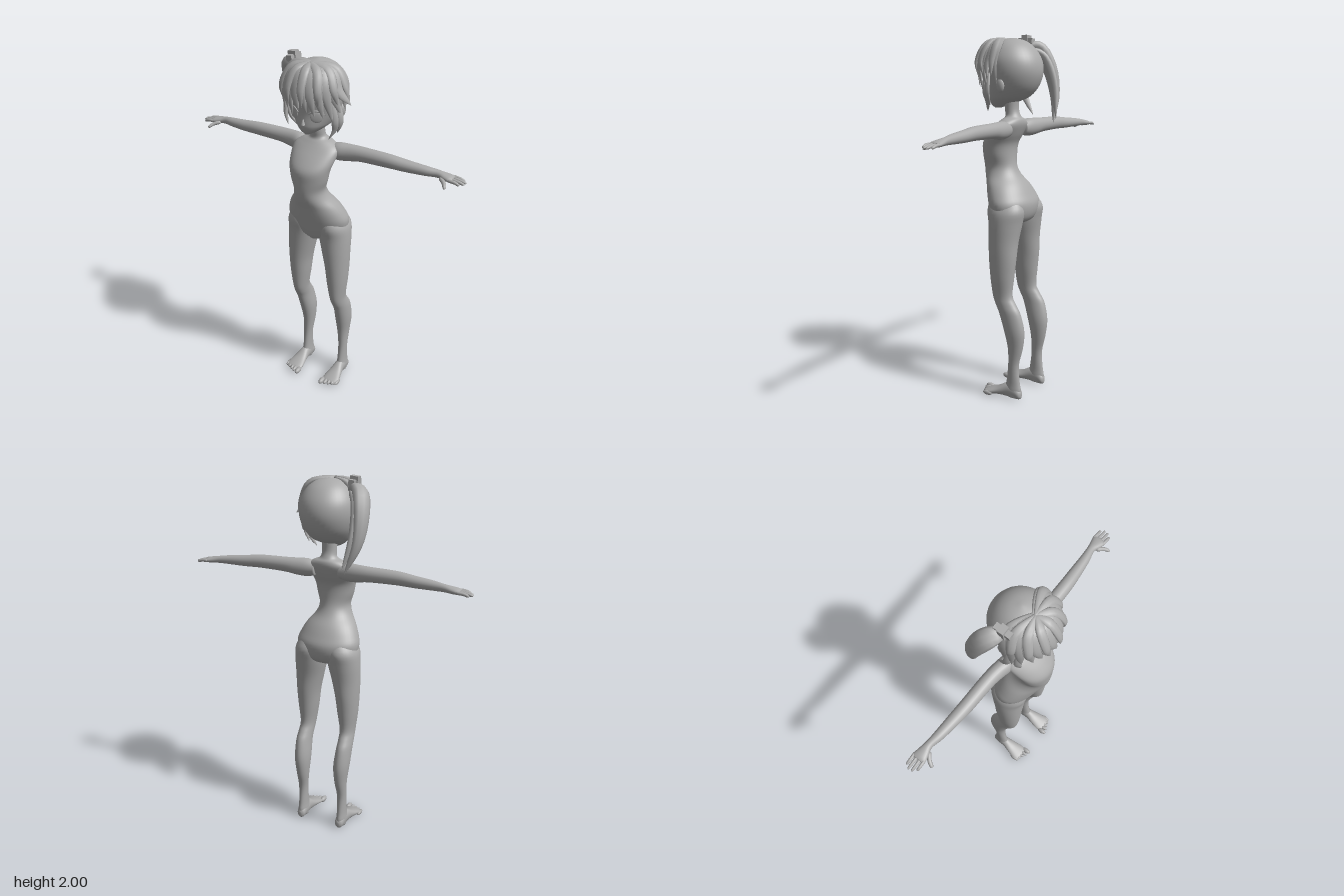
import * as THREE from 'three';

const grey = new THREE.MeshStandardMaterial({ color: 0xaaaaaa });
grey.name = 'plain grey';
const V = (p) => new THREE.Vector3(...p);

// Smooth interpolation through the rows of a small table
function smoothRows(rows, steps) {
  const out = [];
  for (let i = 0; i < rows.length - 1; i++) {
    const a = rows[Math.max(i - 1, 0)], b = rows[i], c = rows[i + 1], d = rows[Math.min(i + 2, rows.length - 1)];
    for (let k = 0; k < steps; k++) {
      const t = k / steps;
      out.push(b.map((v, j) => {
        const cubic = 3 * (v - c[j]) + d[j] - a[j];
        const square = 2 * a[j] - 5 * v + 4 * c[j] - d[j];
        return v + 0.5 * t * (c[j] - a[j] + t * (square + t * cubic));
      }));
    }
  }
  out.push(rows[rows.length - 1]);
  return out;
}

// Closed skin over rings of points, always wound outward
function skin(rings) {
  const n = rings[0].length, pts = rings.flat(), idx = [];
  for (let i = 0; i < rings.length - 1; i++) {
    for (let j = 0; j < n; j++) {
      const a = i * n + j, b = i * n + (j + 1) % n;
      idx.push(a, b, a + n, b, b + n, a + n);
    }
  }
  [0, rings.length - 1].forEach((r) => {
    const c = new THREE.Vector3();
    rings[r].forEach((p) => c.addScaledVector(p, 1 / n));
    const k = pts.push(c) - 1;
    for (let j = 0; j < n; j++) {
      const a = r * n + j, b = r * n + (j + 1) % n;
      if (r) idx.push(a, b, k);
      else idx.push(b, a, k);
    }
  });
  let volume = 0;
  for (let i = 0; i < idx.length; i += 3) {
    const [a, b, c] = [0, 1, 2].map((k) => pts[idx[i + k]].clone().sub(pts[0]));
    volume += a.dot(b.cross(c));
  }
  if (volume < 0) idx.reverse();
  const g = new THREE.BufferGeometry().setFromPoints(pts);
  g.setIndex(idx);
  g.computeVertexNormals();
  return g;
}

// Elliptical loft; row = [position on axis, centre a, half a, b max, b min]
function loft(axis, rows, s = 1, sides = 32) {
  const rings = smoothRows(rows, 4).map(([t, ca, ha, b1, b0]) => Array.from({ length: sides }, (_, j) => {
    const w = j / sides * Math.PI * 2;
    const a = ca + Math.max(ha, 0.001) * Math.cos(w), b = (b1 + b0) / 2 + (b1 - b0) / 2 * Math.sin(w);
    if (axis === 'y') return V([a * s, t, b]);
    if (axis === 'z') return V([a * s, b, t]);
    return V([t * s, a, b]);
  }));
  return skin(rings);
}

// Tapering strand along a path, its flat side facing away from a centre
function strand(points, width, thick, profile, centre = [0, 1.8, -0.02]) {
  const curve = new THREE.CatmullRomCurve3(points.map(V)), n = 14, sides = 10;
  const rings = Array.from({ length: n + 1 }, (_, i) => {
    const t = i / n, p = curve.getPoint(t), dir = curve.getTangent(t);
    const side = dir.clone().cross(p.clone().sub(V(centre))).normalize();
    const out = side.clone().cross(dir).normalize();
    const k = Math.max(profile(t), 0.02);
    return Array.from({ length: sides }, (_, j) => {
      const w = j / sides * Math.PI * 2;
      return p.clone().addScaledVector(side, Math.cos(w) * width * k).addScaledVector(out, Math.sin(w) * thick * k);
    });
  });
  return skin(rings);
}
const leaf = (t) => Math.pow(Math.max(Math.sin(Math.PI * Math.pow(0.08 + 0.92 * t, 0.8)), 0), 0.75);
const digit = (t) => Math.sqrt(Math.max(1 - Math.pow(2 * t - 1, 6), 0)) * (1 - 0.25 * t);

export function createModel() {
  const model = new THREE.Group();
  model.name = 'figure';
  const add = (name, geometry, parent = model) => {
    const m = new THREE.Mesh(geometry, grey);
    m.name = name;
    parent.add(m);
    return m;
  };

  // Plain mannequin torso and neck
  add('torso', loft('y', [
    [0.975, 0, 0.03, 0.05, -0.03], [1.0, 0, 0.12, 0.065, -0.1], [1.04, 0, 0.165, 0.08, -0.13],
    [1.1, 0, 0.18, 0.1, -0.137], [1.15, 0, 0.165, 0.115, -0.115], [1.2, 0, 0.138, 0.13, -0.085],
    [1.25, 0, 0.1, 0.15, -0.045], [1.3, 0, 0.085, 0.16, -0.022], [1.36, 0, 0.102, 0.163, -0.015],
    [1.42, 0, 0.115, 0.16, -0.02], [1.47, 0, 0.128, 0.125, -0.045], [1.52, 0, 0.13, 0.075, -0.065],
    [1.55, 0, 0.09, 0.045, -0.065], [1.57, 0, 0.047, 0.03, -0.052], [1.61, 0, 0.04, 0.035, -0.04],
    [1.69, 0, 0.042, 0.04, -0.045]], 1, 40));

  // Head
  add('head', loft('y', [
    [1.612, 0, 0.012, 0.105, 0.07], [1.628, 0, 0.045, 0.12, 0.02], [1.655, 0, 0.082, 0.13, -0.06],
    [1.68, 0, 0.104, 0.131, -0.11], [1.73, 0, 0.132, 0.128, -0.152], [1.8, 0, 0.15, 0.135, -0.175],
    [1.87, 0, 0.146, 0.13, -0.165], [1.93, 0, 0.113, 0.1, -0.125], [1.965, 0, 0.068, 0.06, -0.075],
    [1.98, 0, 0.008, 0, -0.02]], 1, 40));
  const nose = add('nose', new THREE.ConeGeometry(0.012, 0.035, 8));
  nose.position.set(0, 1.69, 0.132);

  for (const s of [1, -1]) {
    const label = s > 0 ? 'left' : 'right';

    // Eye plate, lid and ear
    const eye = add(label + 'Eye', new THREE.SphereGeometry(1, 20, 12));
    eye.scale.set(0.032, 0.028, 0.0045);
    eye.position.set(0.066 * s, 1.718, 0.111);
    eye.rotation.y = 0.42 * s;
    add(label + 'Eyelid', strand([[0.03 * s, 1.735, 0.13], [0.065 * s, 1.752, 0.117], [0.105 * s, 1.73, 0.085]], 0.006, 0.004, leaf));
    const ear = add(label + 'Ear', new THREE.SphereGeometry(1, 14, 10));
    ear.scale.set(0.014, 0.036, 0.024);
    ear.position.set(0.138 * s, 1.735, -0.02);

    // Leg
    add(label + 'Leg', loft('y', [
      [0.012, 0.125, 0.024, -0.06, -0.13], [0.05, 0.125, 0.028, -0.04, -0.142], [0.1, 0.125, 0.025, -0.052, -0.134],
      [0.2, 0.125, 0.026, -0.064, -0.127], [0.3, 0.122, 0.034, -0.06, -0.15], [0.4, 0.124, 0.043, -0.037, -0.16],
      [0.5, 0.128, 0.041, -0.005, -0.138], [0.55, 0.127, 0.04, 0.02, -0.108], [0.6, 0.125, 0.042, 0.037, -0.083],
      [0.7, 0.123, 0.056, 0.05, -0.09], [0.8, 0.12, 0.066, 0.058, -0.1], [0.9, 0.111, 0.079, 0.063, -0.106],
      [1.0, 0.1, 0.09, 0.068, -0.122], [1.07, 0.096, 0.085, 0.08, -0.132], [1.13, 0.085, 0.06, 0.07, -0.1]], s));

    // Foot and toes
    add(label + 'Foot', loft('z', [
      [-0.146, 0.124, 0.008, 0.04, 0.015], [-0.135, 0.124, 0.023, 0.06, 0.004], [-0.1, 0.125, 0.028, 0.09, 0.002],
      [-0.05, 0.126, 0.031, 0.085, 0.006], [0, 0.128, 0.042, 0.058, 0.008], [0.045, 0.13, 0.051, 0.04, 0.004],
      [0.07, 0.13, 0.047, 0.03, 0.004], [0.08, 0.13, 0.035, 0.022, 0.008]], s));
    for (let i = 0; i < 5; i++) {
      const toe = add(label + 'Toe', new THREE.SphereGeometry(1, 12, 8));
      toe.scale.set(i ? 0.0105 : 0.015, i ? 0.013 : 0.016, 0.03);
      toe.position.set((0.087 + i * 0.021 + (i ? 0.004 : 0)) * s, 0.017, 0.085 - i * 0.009);
    }

    // Arm and palm
    add(label + 'Arm', loft('x', [
      [0.07, 1.5, 0.035, 0.01, -0.055], [0.12, 1.502, 0.048, 0.02, -0.065], [0.18, 1.504, 0.046, 0.008, -0.072],
      [0.25, 1.508, 0.04, 0, -0.075], [0.4, 1.508, 0.036, -0.004, -0.075], [0.5, 1.502, 0.031, -0.014, -0.078],
      [0.6, 1.498, 0.025, -0.028, -0.08], [0.66, 1.495, 0.02, -0.042, -0.084], [0.7, 1.49, 0.018, -0.032, -0.092],
      [0.73, 1.487, 0.015, -0.025, -0.098], [0.745, 1.485, 0.01, -0.03, -0.096]], s, 24));

    // Fingers and thumb
    [[-0.033, 0.788], [-0.053, 0.807], [-0.073, 0.81], [-0.092, 0.795]].forEach(([z, tip]) => {
      const path = [[0.722 * s, 1.487, z], [0.765 * s, 1.484, z + 0.002], [tip * s, 1.475, z + 0.001]];
      add(label + 'Finger', strand(path, 0.0095, 0.0095, digit, [0.75 * s, 0, -0.06]));
    });
    const thumb = [[0.68 * s, 1.486, -0.045], [0.715 * s, 1.475, -0.015], [0.732 * s, 1.46, 0.014]];
    add(label + 'Thumb', strand(thumb, 0.012, 0.011, digit, [0.7 * s, 0, -0.06]));
  }

  // Fringe: locks fan out from the crown over the brow and temples
  const hair = new THREE.Group();
  hair.name = 'fringe';
  model.add(hair);
  const tips = [
    [-0.155, 1.70, 0.0], [-0.152, 1.67, 0.045], [-0.14, 1.71, 0.09], [-0.105, 1.735, 0.135], [-0.07, 1.755, 0.16],
    [-0.03, 1.735, 0.178], [0.008, 1.765, 0.185], [0.045, 1.76, 0.172], [0.08, 1.74, 0.155], [0.115, 1.725, 0.125],
    [0.145, 1.70, 0.085], [0.17, 1.73, 0.045], [0.208, 1.78, 0.015], [0.16, 1.74, -0.01]];
  tips.forEach((tip, i) => {
    const a = -1.62 + 3.24 * i / (tips.length - 1);
    const ring = (r, y) => [Math.sin(a) * r, y, Math.cos(a) * r * 0.98 + 0.02];
    add('hairLock', strand([[0, 1.968, 0.065], ring(0.115, 1.94), ring(0.157, 1.855), tip], 0.036, 0.016, leaf), hair);
    if (i % 2) {
      const b = tips[i - 1];
      const end = [(tip[0] + b[0]) * 0.52, 1.785, (tip[2] + b[2]) * 0.53];
      add('upperHairLock', strand([[0, 1.974, 0.07], ring(0.12, 1.95), ring(0.172, 1.86), end], 0.025, 0.014, leaf), hair);
    }
  });

  // Long locks beside the cheeks
  const sideLocks = [
    [[0.135, 1.8, 0.08], [0.15, 1.7, 0.07], [0.14, 1.65, 0.06], [0.115, 1.6, 0.075]],
    [[0.145, 1.8, 0.05], [0.165, 1.7, 0.045], [0.145, 1.63, 0.04]],
    [[-0.135, 1.8, 0.08], [-0.145, 1.7, 0.075], [-0.125, 1.63, 0.08]],
    [[-0.15, 1.8, 0.03], [-0.16, 1.68, 0.02], [-0.14, 1.57, -0.05]]];
  sideLocks.forEach((p) => add('sideLock', strand(p, 0.02, 0.011, leaf), hair));

  // Side ponytail with a block clip
  const tail = new THREE.Group();
  tail.name = 'ponytail';
  model.add(tail);
  const outer = [[-0.13, 1.925, -0.01], [-0.19, 1.93, -0.045], [-0.225, 1.83, -0.1], [-0.222, 1.68, -0.14], [-0.165, 1.53, -0.165]];
  const inner = [[-0.14, 1.92, -0.03], [-0.19, 1.88, -0.08], [-0.205, 1.74, -0.14], [-0.16, 1.55, -0.185]];
  add('outerTail', strand(outer, 0.052, 0.035, leaf), tail);
  add('innerTail', strand(inner, 0.038, 0.024, leaf), tail);
  [[1.962, 0.045, 0.07, 0.035], [1.965, 0.032, 0.03, 0.09]].forEach(([y, w, h, d]) => {
    const box = add('hairClip', new THREE.BoxGeometry(w, h, d), tail);
    box.position.set(-0.142, y, -0.002);
    box.rotation.z = 0.1;
  });
  return model;
}
